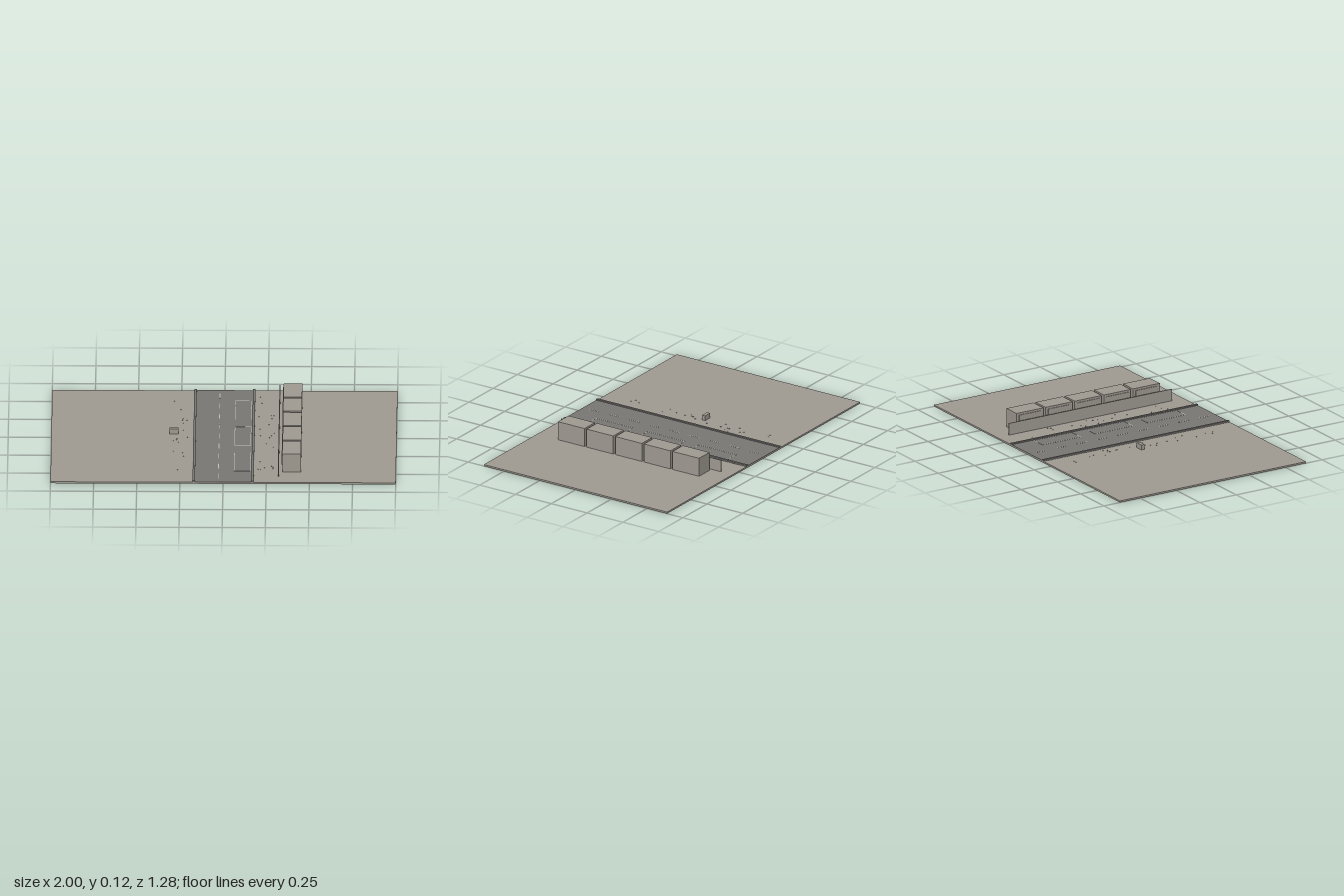
import * as THREE from 'three';

export function createModel() {
  const model = new THREE.Group();
  const stone = new THREE.MeshStandardMaterial({ name: 'warm grey', color: 0xa09b92 });
  const asphalt = new THREE.MeshStandardMaterial({ name: 'road grey', color: 0x7a7875 });
  const paint = new THREE.MeshStandardMaterial({ name: 'line paint', color: 0xc4c2bd });

  // Box given by its lower and upper limits on each axis
  const block = (name, material, [x0, x1], [y0, y1], [z0, z1]) => {
    const mesh = new THREE.Mesh(new THREE.BoxGeometry(x1 - x0, y1 - y0, z1 - z0), material);
    mesh.position.set((x0 + x1) / 2, (y0 + y1) / 2, (z0 + z1) / 2);
    mesh.name = name;
    model.add(mesh);
    return mesh;
  };
  const LEVEL = 0.01, ROAD = 0.012, HALF = 0.64;
  const depth = [-HALF, HALF];

  // Ground, road and kerbs
  block('ground', stone, [-1, 1], [0, LEVEL], depth);
  block('road', asphalt, [-0.178, 0.178], [LEVEL, ROAD], depth);
  for (const side of [-1, 1]) {
    const x = side * 0.17;
    block('kerb', asphalt, [x - 0.007, x + 0.007], [LEVEL, 0.019], depth);
  }

  // Lane dashes
  const line = [ROAD, ROAD + 0.0008];
  for (let i = -4; i <= 4; i++) {
    const z = i * 0.14;
    block('laneDash', paint, [-0.03, -0.026], line, [z - 0.034, z + 0.034]);
  }

  // Outlined bays on the road
  const w = 0.003;
  for (let i = -1; i <= 1; i++) {
    const z0 = i * 0.36 - 0.131, z1 = i * 0.36 + 0.129;
    for (const x of [0.063, 0.156]) block('bayLine', paint, [x - w / 2, x + w / 2], line, [z0, z1]);
    for (const z of [z0, z1]) block('bayEnd', paint, [0.063, 0.156], line, [z - w / 2, z + w / 2]);
  }

  // Row of buildings with a shallow panel facing the road
  for (let i = -2; i <= 2; i++) {
    const z = i * 0.2;
    block('building', stone, [0.342, 0.45], [LEVEL, 0.123], [z - 0.0925, z + 0.0925]);
    block('buildingPanel', stone, [0.338, 0.342], [0.05, 0.11], [z - 0.075, z + 0.075]);
  }

  // Long wall and lone cabinet
  block('wall', stone, [0.317, 0.322], [LEVEL, 0.082], [-0.56, 0.56]);
  block('cabinet', stone, [-0.315, -0.264], [LEVEL, 0.04], [-0.054, -0.032]);

  // Small pebbles scattered along both verges
  let seed = 7;
  const random = () => (seed = (seed * 16807) % 2147483647) / 2147483647;
  const pebble = new THREE.BoxGeometry(0.005, 0.002, 0.005);
  for (const side of [-1, 1]) {
    for (let i = 0; i < 30; i++) {
      const mesh = new THREE.Mesh(pebble, stone);
      mesh.name = 'pebble';
      mesh.position.set(side * (0.2 + 0.1 * random()), LEVEL + 0.001, (random() - 0.5) * 1.1);
      model.add(mesh);
    }
  }
  return model;
}
